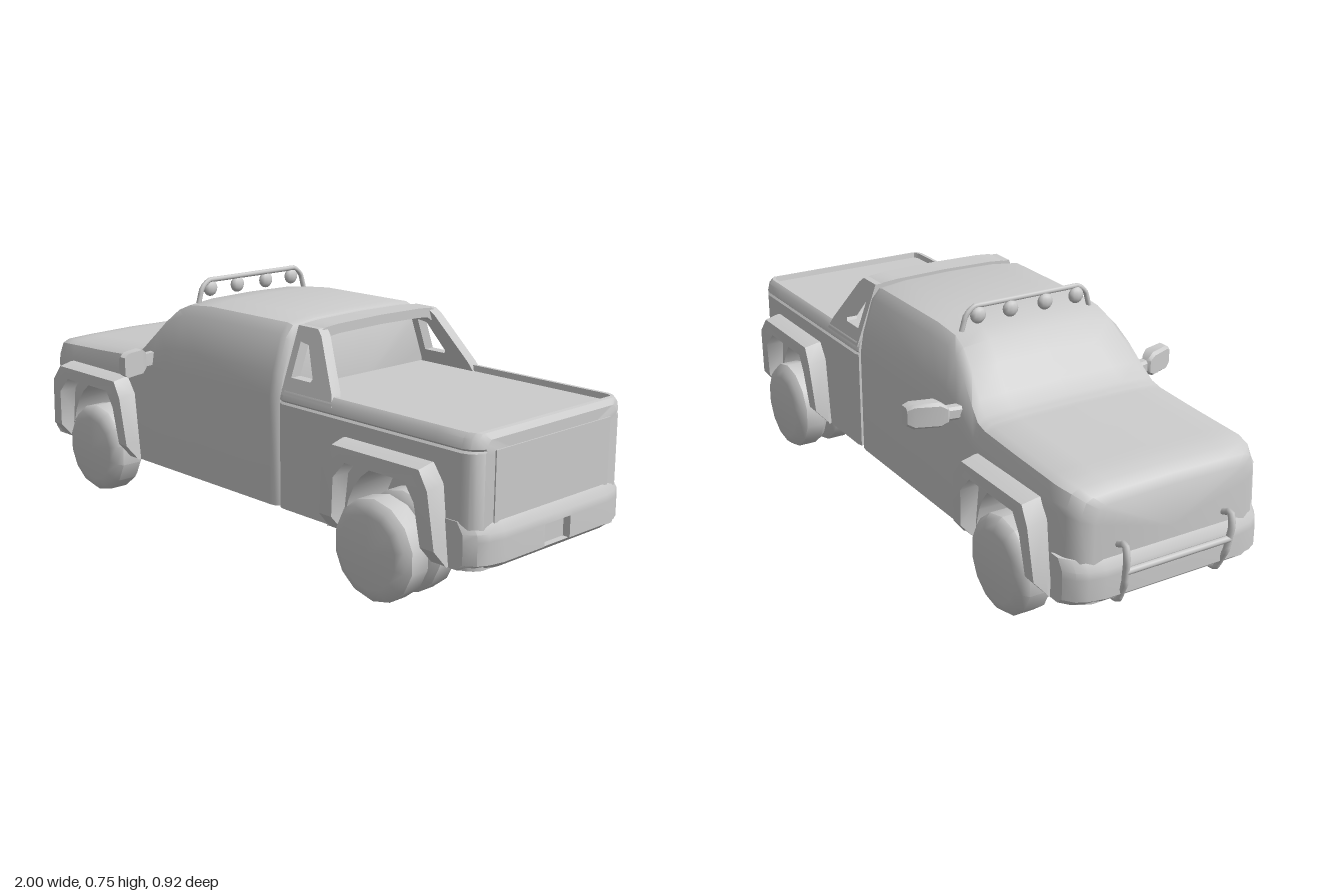
import * as THREE from 'three';
import { toCreasedNormals } from 'three/addons/utils/BufferGeometryUtils.js';

const mat = new THREE.MeshStandardMaterial({ color: 0xcccccc, roughness: 0.8 });
const V = (x, y, z) => new THREE.Vector3(x, y, z);

function add(parent, name, geo, crease = 0.6) {
  const mesh = new THREE.Mesh(crease ? toCreasedNormals(geo, crease) : geo, mat);
  mesh.name = name;
  parent.add(mesh);
  return mesh;
}

// Skin closed rings of [x, y, z] points, cap both ends and face outwards
function loft(rings) {
  const n = rings[0].length, pos = rings.flat(2), idx = [];
  for (let i = 0; i < rings.length - 1; i++)
    for (let j = 0; j < n; j++) {
      const a = i * n + j, b = i * n + (j + 1) % n;
      idx.push(a, b, a + n, b, b + n, a + n);
    }
  for (const [k, flip] of [[0, true], [rings.length - 1, false]]) {
    const c = pos.length / 3;
    for (let d = 0; d < 3; d++) pos.push(rings[k].reduce((s, p) => s + p[d], 0) / n);
    for (let j = 0; j < n; j++) {
      const a = k * n + j, b = k * n + (j + 1) % n;
      idx.push(c, flip ? b : a, flip ? a : b);
    }
  }
  let volume = 0;
  const p = i => V(pos[i * 3], pos[i * 3 + 1], pos[i * 3 + 2]);
  for (let i = 0; i < idx.length; i += 3) volume += p(idx[i]).dot(p(idx[i + 1]).cross(p(idx[i + 2])));
  if (volume < 0) idx.reverse();
  const g = new THREE.BufferGeometry();
  g.setAttribute('position', new THREE.Float32BufferAttribute(pos, 3));
  g.setIndex(idx);
  return g;
}

// Full ring at x from a half outline of [z, y] points
const mirrorRing = (x, half) => [
  ...half.map(([z, y]) => [x, y, z]),
  ...half.slice(1, -1).reverse().map(([z, y]) => [x, y, -z])];

// Linear interpolation through rows that start with x
function sample(rows, x) {
  let i = 0;
  while (i < rows.length - 2 && x > rows[i + 1][0]) i++;
  const t = (x - rows[i][0]) / (rows[i + 1][0] - rows[i][0]);
  return rows[i].map((v, k) => THREE.MathUtils.lerp(v, rows[i + 1][k], t));
}

// Body shell along x, with the wheel wells lifted out of its floor
function shell(rows, wheelX, section) {
  const R = 0.165, xs = rows.map(r => r[0]);
  for (let i = 0; i <= 14; i++) xs.push(wheelX - R * Math.cos(Math.PI * i / 14));
  xs.sort((a, b) => a - b);
  return loft(xs.map(x => {
    const d = Math.min(1, Math.abs(x - wheelX) / R);
    const arch = 0.15 + 0.215 * Math.sqrt(1 - d * d);
    const [, top, w, belt] = sample(rows, x);
    return mirrorRing(x, [[0, 0.15], [0.16, 0.15], [0.16, arch], [w, arch], ...section(top, w, belt)]);
  }));
}

const tube = (pts, r) => {
  const path = new THREE.CurvePath();
  for (let i = 0; i < pts.length - 1; i++) path.add(new THREE.LineCurve3(pts[i], pts[i + 1]));
  // Densify corners with short rounded bends
  const c = new THREE.CatmullRomCurve3(path.getSpacedPoints(24), false);
  return new THREE.TubeGeometry(c, 36, r, 8, false);
};

function wheel(parent, name, x, z, width) {
  const prof = [[0, -0.5], [0.105, -0.5], [0.13, -0.42], [0.145, -0.27],
    [0.145, 0.27], [0.13, 0.42], [0.105, 0.5], [0, 0.5]];
  const g = new THREE.LatheGeometry(prof.map(([r, y]) => new THREE.Vector2(r, y * width)), 14);
  g.rotateX(Math.PI / 2);
  add(parent, name, g, 0.7).position.set(x, 0.147, z);
}

// Bevelled arch moulding: outer foot, outer lip, inner lip, inner foot
function fenderFlare(cx, h, top) {
  const stations = [ // outer dx, outer y, inner dx, inner y, lip z
    [-h, 0.15, -0.165, 0.15, 0.325], [-h + 0.006, 0.2, -0.165, 0.2, 0.37],
    [-h + 0.025, top - 0.05, -0.15, 0.32, 0.38], [-h + 0.06, top, -0.11, 0.368, 0.375]];
  const all = [...stations, ...stations.map(([a, b, c, d, e]) => [-a, b, -c, d, e]).reverse()];
  return loft(all.map(([ox, oy, ix, iy, z]) => {
    const mx = ox * 0.94 + ix * 0.06, my = oy * 0.8 + iy * 0.2;
    return [[cx + ox, oy, 0.3], [cx + ox, oy, 0.33], [cx + mx, my, z], [cx + ix, iy, z], [cx + ix, iy, 0.29]];
  }));
}

// Bumper swept across z with rounded corners and an optional plate recess
function bumper(xBack, xFace, recess) {
  const dir = Math.sign(xFace - xBack);
  const half = [[0, 0], [0.055, 0], [0.0551, 0], [0.065, 0], [0.22, 0], [0.27, 0.01], [0.3, 0.025], [0.323, 0.055]];
  const all = [...half.slice(1).map(([z, d]) => [-z, d]).reverse(), ...half];
  return loft(all.map(([z, inset]) => {
    const f = xFace - dir * inset, pocket = recess && Math.abs(z) <= 0.055 ? 0.025 : 0;
    const q = f - dir * pocket;
    return [[xBack, 0.149], [f - dir * 0.02, 0.149], [f - dir * 0.004, 0.165], [q, 0.166], [q, 0.228],
      [f, 0.229], [f - dir * 0.002, 0.25], [f - dir * 0.022, 0.28], [xBack, 0.28]].map(([x, y]) => [x, y, z]);
  }));
}

export function createModel() {
  const g = new THREE.Group();
  g.name = 'pickupTruck';

  // Hood and cab in one shell: x, top height, half width, belt height
  const cabRows = [[-0.95, 0.43, 0.25, 0.38], [-0.935, 0.455, 0.285, 0.39], [-0.9, 0.472, 0.308, 0.4],
    [-0.85, 0.48, 0.32, 0.4], [-0.65, 0.49, 0.32, 0.4], [-0.5, 0.498, 0.32, 0.41], [-0.46, 0.508, 0.32, 0.42],
    [-0.42, 0.545, 0.32, 0.44], [-0.36, 0.61, 0.32, 0.47], [-0.3, 0.66, 0.32, 0.48], [-0.25, 0.682, 0.32, 0.48],
    [-0.15, 0.692, 0.32, 0.48], [0.2, 0.694, 0.32, 0.48], [0.22, 0.688, 0.317, 0.48], [0.231, 0.67, 0.305, 0.48]];
  add(g, 'cab', shell(cabRows, -0.645, (t, w, b) => {
    const s = THREE.MathUtils.clamp((t - 0.5) / 0.18, 0, 1), mix = (a, c) => w * (a + (c - a) * s);
    const y = f => b + f * (t - b);
    return [[w, b], [mix(0.99, 0.965), y(0.3)], [mix(0.945, 0.86), y(0.8)],
      [mix(0.87, 0.775), y(0.95)], [mix(0.6, 0.5), y(1)], [0, t + 0.003]];
  }), 0.7);

  // Cargo bed with its rail, seam and recessed cover
  const bedRows = [[0.24, 0.498, 0.315, 0.515], [0.255, 0.498, 0.32, 0.515], [0.93, 0.498, 0.32, 0.515],
    [0.95, 0.498, 0.312, 0.515], [0.953, 0.515, 0.31, 0.515], [0.965, 0.513, 0.3, 0.513], [0.977, 0.497, 0.28, 0.497]];
  add(g, 'bed', shell(bedRows, 0.675, (t, w, rail) => [[w, 0.463], [w - 0.006, 0.469], [w, 0.475],
    [w - 0.007, rail - 0.013], [w - 0.02, rail], [w - 0.032, rail], [w - 0.036, t], [0, t]]));
  const gate = new THREE.BoxGeometry(0.012, 0.195, 0.485);
  gate.translate(0.975, 0.369, 0);
  add(g, 'tailgate', gate);

  add(g, 'rearBumper', bumper(0.88, 1.0, true));
  add(g, 'frontBumper', bumper(-0.86, -0.968, false));

  // Roll hoop: leaning side supports with openings, joined by a roof band
  const side = new THREE.Shape([[0.245, 0.49], [0.455, 0.49], [0.44, 0.525], [0.345, 0.665],
    [0.325, 0.682], [0.245, 0.682]].map(p => new THREE.Vector2(...p)));
  side.holes.push(new THREE.Path([[0.27, 0.54], [0.27, 0.64], [0.305, 0.635], [0.355, 0.55], [0.35, 0.54]]
    .map(p => new THREE.Vector2(...p))));
  const band = [[0, 0.691], [0.17, 0.688], [0.22, 0.684], [0.24, 0.676], [0.25, 0.655],
    [0.222, 0.645], [0.205, 0.656], [0.165, 0.66], [0, 0.663]];
  const ring = x => mirrorRing(x, band);
  const bandGeo = new THREE.ExtrudeGeometry(new THREE.Shape(ring(0).map(p => new THREE.Vector2(p[2], p[1]))),
    { depth: 0.085, bevelEnabled: false });
  bandGeo.rotateY(Math.PI / 2);
  bandGeo.translate(0.245, 0, 0);
  add(g, 'hoopRoofBand', bandGeo);

  // Parts repeated on both sides
  for (const [label, s] of [['left', 1], ['right', -1]]) {
    const half = new THREE.Group();
    half.name = label + 'SideParts';
    half.scale.z = s;
    g.add(half);

    const sup = new THREE.ExtrudeGeometry(side, { depth: 0.035, bevelEnabled: false });
    const p = sup.attributes.position;
    for (let i = 0; i < p.count; i++) p.setZ(i, p.getZ(i) + 0.282 - (p.getY(i) - 0.49) * 0.37);
    add(half, 'hoopSupport', sup);

    add(half, 'frontFenderFlare', fenderFlare(-0.645, 0.215, 0.415));
    add(half, 'rearFenderFlare', fenderFlare(0.675, 0.223, 0.42));
    wheel(half, 'frontWheel', -0.645, 0.305, 0.12);
    wheel(half, 'rearOuterWheel', 0.675, 0.341, 0.113);
    wheel(half, 'rearInnerWheel', 0.675, 0.231, 0.113);

    // Swept-back mirror: z, centre x, half depth, low y, high y
    const mirror = [[0.3, -0.375, 0.015, 0.475, 0.515], [0.345, -0.367, 0.014, 0.475, 0.515],
      [0.352, -0.367, 0.02, 0.47, 0.523], [0.372, -0.358, 0.023, 0.46, 0.535],
      [0.44, -0.335, 0.019, 0.46, 0.535], [0.458, -0.326, 0.016, 0.47, 0.525]];
    add(half, 'wingMirror', loft(mirror.map(([z, x, d, a, b]) =>
      [[x - d, a + 0.008, z], [x - d, b - 0.008, z], [x - d * 0.5, b, z], [x + d, b, z], [x + d, a, z], [x - d * 0.5, a, z]])));

    // Push bar upright
    add(half, 'pushBarUpright', tube([V(-0.78, 0.135, 0.165), V(-0.945, 0.135, 0.165), V(-0.978, 0.2, 0.17),
      V(-0.99, 0.28, 0.175), V(-0.982, 0.318, 0.175), V(-0.93, 0.3, 0.175)], 0.01), 0);

    for (const z of [0.06, 0.17]) {
      const lamp = new THREE.SphereGeometry(0.025, 10, 8);
      lamp.scale(0.65, 1, 1);
      lamp.translate(-0.245, 0.717, z);
      add(half, 'roofLamp', lamp, 0);
    }
  }
  add(g, 'pushBarCrossTube', tube([V(-0.985, 0.24, -0.172), V(-0.985, 0.24, 0.172)], 0.01), 0);
  add(g, 'roofLightBar', tube([V(-0.24, 0.675, -0.222), V(-0.24, 0.725, -0.207), V(-0.24, 0.744, -0.18),
    V(-0.24, 0.744, 0.18), V(-0.24, 0.725, 0.207), V(-0.24, 0.675, 0.222)], 0.008), 0);
  return g;
}
